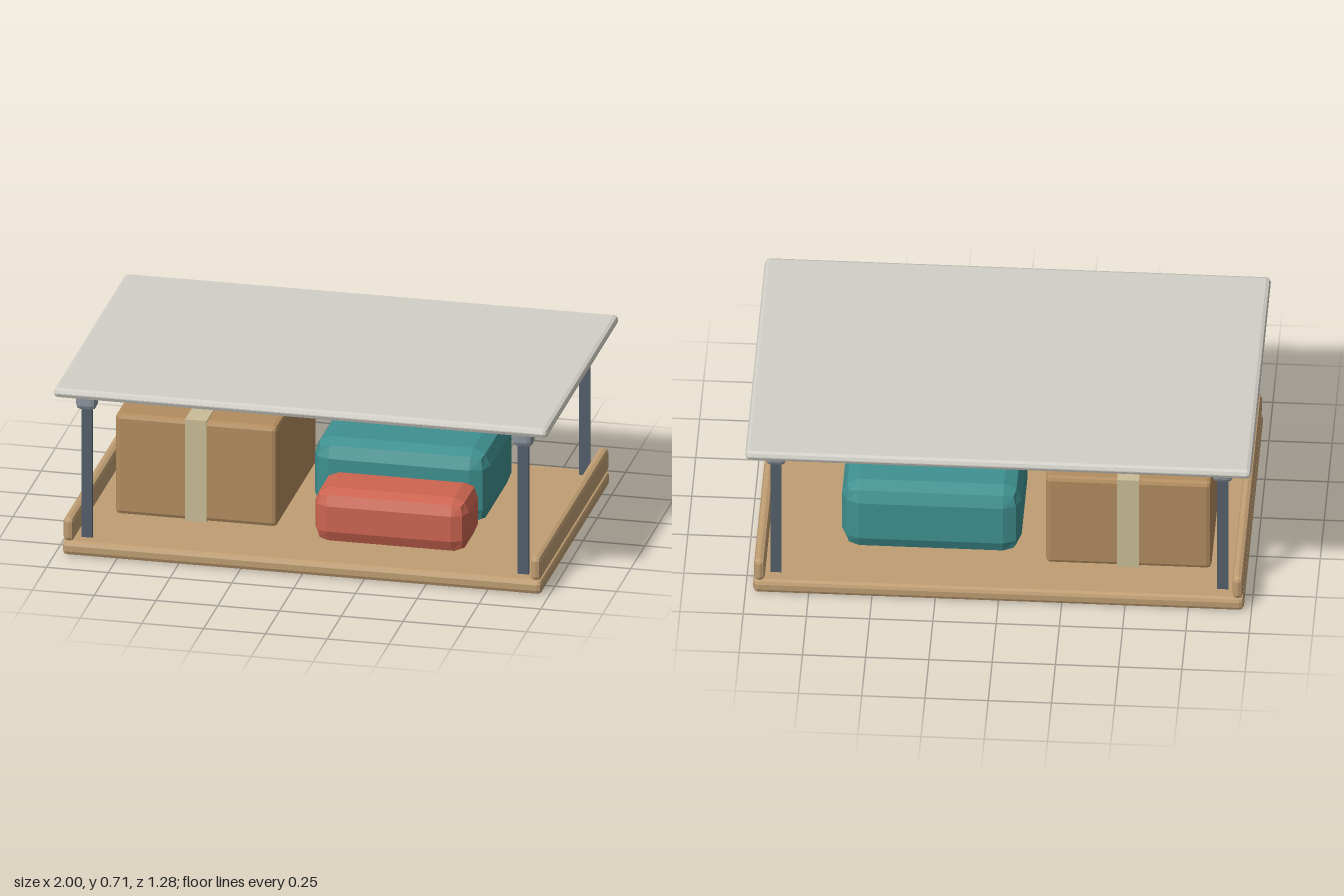
import * as THREE from 'three';
import { RoundedBoxGeometry } from 'three/addons/geometries/RoundedBoxGeometry.js';

const material = (color) => new THREE.MeshStandardMaterial({ color, flatShading: true });

export function createModel() {
  const model = new THREE.Group();
  const wood = material(0xbf9d72);
  const roofGrey = material(0xd1cfc7);
  const steel = material(0x545e6b);
  const capGrey = material(0x8a929b);
  const cardboard = material(0xb28c5e);
  const tapeCream = material(0xcabd98);
  const teal = material(0x3f9090);
  const red = material(0xcc6450);

  // Box given by its [min, max] range on each axis, with optional bevel radius
  function block(name, mat, [x0, x1], [y0, y1], [z0, z1], bevel = 0) {
    const size = [x1 - x0, y1 - y0, z1 - z0];
    const geometry = bevel
      ? new RoundedBoxGeometry(...size, 1, bevel)
      : new THREE.BoxGeometry(...size);
    const mesh = new THREE.Mesh(geometry, mat);
    mesh.name = name;
    mesh.position.set((x0 + x1) / 2, (y0 + y1) / 2, (z0 + z1) / 2);
    model.add(mesh);
  }
  const around = (c, width) => [c - width / 2, c + width / 2];

  // Floor board and roof panel
  block('floorBoard', wood, [-0.97, 0.97], [0, 0.06], [-0.612, 0.612], 0.018);
  block('roofPanel', roofGrey, [-1, 1], [0.675, 0.715], [-0.64, 0.64], 0.018);

  for (const side of [-1, 1]) {
    const sideName = side > 0 ? 'left' : 'right';
    // Side rails
    block(`${sideName}Rail`, wood, around(side * 0.945, 0.042), [0.058, 0.16], [-0.612, 0.612], 0.018);
    // Flat corner posts with bevelled caps under the roof
    for (const end of [-1, 1]) {
      const corner = sideName + (end > 0 ? 'Front' : 'Back');
      block(`${corner}Post`, steel, around(side * 0.883, 0.044), [0.05, 0.62], around(end * 0.543, 0.012));
      block(`${corner}PostCap`, capGrey, around(side * 0.883, 0.082), [0.607, 0.677], around(end * 0.543, 0.072), 0.02);
    }
  }

  // Cardboard box with a tape band
  block('cardboardBox', cardboard, [-0.83, -0.175], [0.06, 0.486], [-0.425, 0.285], 0.018);
  block('tapeBand', tapeCream, [-0.545, -0.458], [0.06, 0.49], [-0.429, 0.289]);

  // Soft bags
  block('largeBag', teal, [-0.075, 0.635], [0.06, 0.372], [-0.4, 0.113], 0.07);
  block('smallBag', red, [0, 0.622], [0.06, 0.287], [0.145, 0.427], 0.06);

  return model;
}
